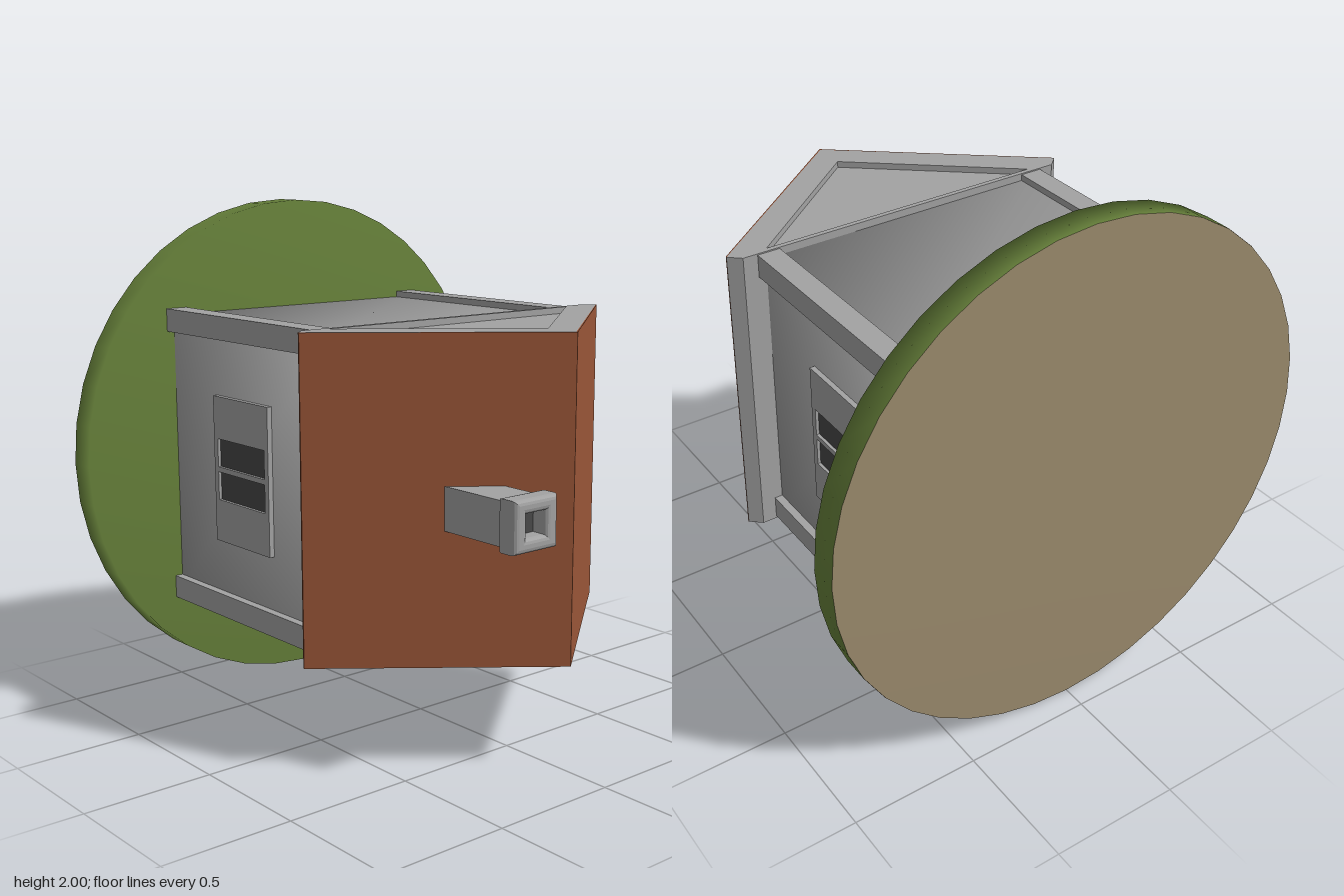
import * as THREE from 'three';
import { mergeVertices } from 'three/addons/utils/BufferGeometryUtils.js';

const mat = (name, color, side = THREE.FrontSide) => {
  const m = new THREE.MeshStandardMaterial({ color, side });
  m.name = name;
  return m;
};

const polygon = (pts) => new THREE.Shape(pts.map(([x, y]) => new THREE.Vector2(x, y)));
const rect = (x0, y0, x1, y1) => polygon([[x0, y0], [x1, y0], [x1, y1], [x0, y1]]);

export function createModel() {
  const stone = mat('stone grey', 0xa2a2a2);
  const dark = mat('dark glass', 0x484848);
  const tile = mat('roof tile', 0x9a5638, THREE.DoubleSide);
  const grass = mat('grass green', 0x66803a);
  const earth = mat('earth brown', 0x9a8a6c);

  const model = new THREE.Group();
  const add = (name, geo, material, parent = model) => {
    const m = new THREE.Mesh(geo, material);
    m.name = name;
    parent.add(m);
    return m;
  };
  // Box given by its two opposite corners
  const box = (name, [x0, y0, z0], [x1, y1, z1], material, parent) => {
    const m = add(name, new THREE.BoxGeometry(x1 - x0, y1 - y0, z1 - z0), material, parent);
    m.position.set((x0 + x1) / 2, (y0 + y1) / 2, (z0 + z1) / 2);
    return m;
  };
  // Prism with an x-z outline, running along y from y0 to y1
  const prism = (name, shape, y0, y1, material) => {
    const geo = new THREE.ExtrudeGeometry(shape, { depth: y1 - y0, bevelEnabled: false });
    geo.rotateX(Math.PI / 2).translate(0, y1, 0);
    return add(name, geo, material);
  };

  // Round ground plate with its axis along z, softly shaded over the rim
  const disc = (name, profile, material) => {
    const geo = new THREE.LatheGeometry(profile.map(([r, h]) => new THREE.Vector2(r, h)), 40);
    geo.rotateX(Math.PI / 2);
    add(name, geo, material).position.y = 1;
  };
  disc('groundRim', [[1, -0.91], [1, -0.8], [0, -0.8]], grass);
  disc('groundUnderside', [[0, -0.911], [0.998, -0.911], [1, -0.905]], earth);

  // House body with soft shading across its corners
  const body = new THREE.BoxGeometry(1.2, 1.13, 0.99);
  body.deleteAttribute('normal');
  body.deleteAttribute('uv');
  const softBody = mergeVertices(body);
  softBody.computeVertexNormals();
  add('walls', softBody, stone).position.set(0, 1, -0.305);

  // Corner posts
  for (const sx of [-1, 1]) {
    for (const sy of [-1, 1]) {
      const post = add('cornerPost', new THREE.BoxGeometry(0.09, 0.09, 0.98), stone);
      post.position.set(sx * 0.587, 1 + sy * 0.545, -0.31);
    }
  }

  // Roof: gable frame with a recessed triangular panel at each end
  const roof = polygon([[-0.69, 0.18], [0.69, 0.18], [0.735, 0.22], [0, 0.815], [-0.735, 0.22]]);
  const gable = [[-0.585, 0.2], [0.585, 0.2], [0, 0.68]];
  roof.holes.push(polygon(gable));
  prism('roofFrame', roof, 0.4, 1.595, stone);
  prism('gablePanel', polygon(gable), 0.425, 1.57, stone);

  // Tiled slopes
  for (const s of [-1, 1]) {
    const slope = polygon([[0, 0.815], [s * 0.735, 0.22], [s * 0.735, 0.225], [0, 0.822]]);
    prism('roofSlope', slope, 0.4, 1.595, tile);
  }

  // Chimney shaft and hollow cap
  box('chimneyShaft', [-0.35, 0.9, 0.4], [-0.185, 1.06, 0.84], stone);
  box('chimneyFlue', [-0.315, 0.93, 0.84], [-0.22, 1.03, 0.845], dark);
  const cap = rect(-0.35, 0.905, -0.185, 1.055);
  cap.holes.push(rect(-0.33, 0.92, -0.205, 1.04));
  const capGeo = new THREE.ExtrudeGeometry(cap, {
    depth: 0.052, bevelThickness: 0.018, bevelSize: 0.018, bevelSegments: 3,
  });
  add('chimneyCap', capGeo, stone).position.z = 0.84;

  // Window drawn in its own plane: x across, y up, facing +z
  const makeWindow = (w, h, paneW, paneH) => {
    const g = new THREE.Group();
    g.name = 'window';
    const frame = rect(-w / 2, -h / 2, w / 2, h / 2);
    const gap = 0.02;
    const half = (paneW - gap) / 2;
    for (const s of [-1, 1]) {
      const c = s * (half + gap) / 2;
      frame.holes.push(rect(c - half / 2, -paneH / 2, c + half / 2, paneH / 2));
    }
    add('windowFrame', new THREE.ExtrudeGeometry(frame, { depth: 0.02, bevelEnabled: false }), stone, g);
    box('windowPane', [-paneW / 2, -paneH / 2, 0.002], [paneW / 2, paneH / 2, 0.008], dark, g);
    model.add(g);
    return g;
  };

  // Side windows, one on each long wall
  for (const s of [-1, 1]) {
    const g = makeWindow(0.57, 0.36, 0.24, 0.31);
    g.position.set(s * 0.6, 0.995, -0.32);
    g.rotation.set(Math.PI / 2, s * Math.PI / 2, 0);
  }
  // Windows on the entrance wall and its gable
  const wallWindow = makeWindow(0.36, 0.4, 0.24, 0.24);
  wallWindow.position.set(-0.24, 0.435, -0.28);
  wallWindow.rotation.x = Math.PI / 2;
  const gableWindow = makeWindow(0.24, 0.2, 0.2, 0.16);
  gableWindow.position.set(0, 0.425, 0.36);
  gableWindow.rotation.x = Math.PI / 2;

  // Door with raised surround
  box('doorSurround', [0.08, 0.415, -0.79], [0.46, 0.44, -0.2], stone);
  box('doorLeaf', [0.13, 0.405, -0.79], [0.41, 0.42, -0.25], stone);

  // Curved doorstep on a dark oval mat
  const step = new THREE.Shape();
  step.moveTo(0.02, 0.45);
  step.lineTo(0.02, 0.22);
  step.lineTo(0.22, 0.22);
  step.bezierCurveTo(0.36, 0.225, 0.47, 0.29, 0.53, 0.39);
  step.lineTo(0.53, 0.45);
  const stepGeo = new THREE.ExtrudeGeometry(step, { depth: 0.17, bevelEnabled: false, curveSegments: 8 });
  add('doorstep', stepGeo, stone).position.z = -0.8;
  const mat2 = add('doorMat', new THREE.CylinderGeometry(1, 1, 0.008, 32), dark);
  mat2.rotation.x = Math.PI / 2;
  mat2.scale.set(0.35, 1, 0.12);
  mat2.position.set(0.2, 0.44, -0.797);

  return model;
}
